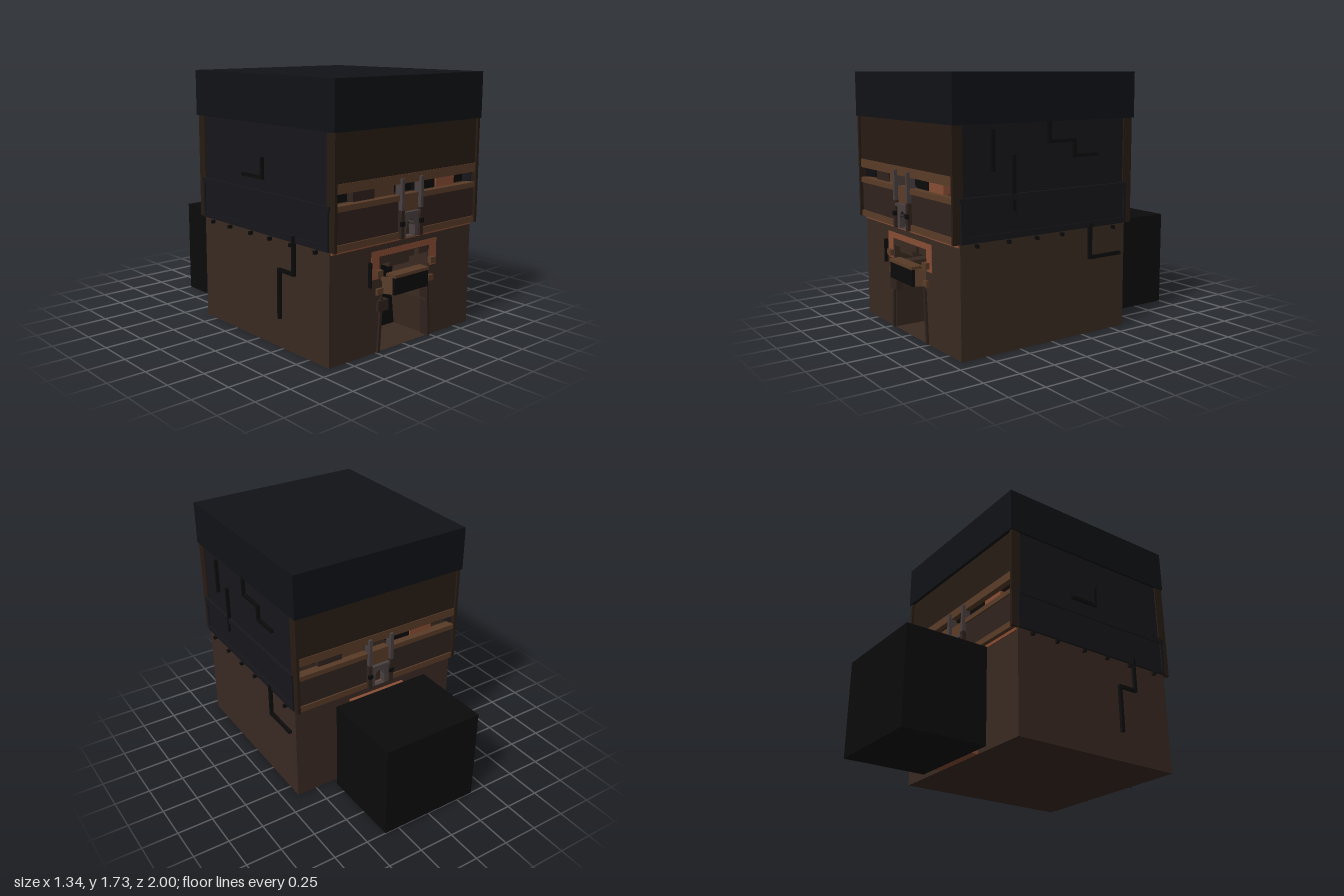
import * as THREE from 'three';

const mat = (color) => new THREE.MeshStandardMaterial({ color, side: THREE.DoubleSide, flatShading: true });
const M = {
  wall: mat(0x3a2a22), upper: mat(0x281c14), panel: mat(0x30231d), trim: mat(0x5a3c28), glow: mat(0x8a4e34),
  roof: mat(0x101216), side: mat(0x17171c), black: mat(0x0c0b0b), metal: mat(0x4a4040),
};

// Box given by its minimum and maximum on each axis
function box(parent, name, m, x0, x1, y0, y1, z0, z1) {
  const mesh = new THREE.Mesh(new THREE.BoxGeometry(x1 - x0, y1 - y0, z1 - z0), m);
  mesh.position.set((x0 + x1) / 2, (y0 + y1) / 2, (z0 + z1) / 2);
  mesh.name = name;
  parent.add(mesh);
  return mesh;
}

// Extruded outline with optional hole, from z0 to z1
function slab(parent, name, m, pts, hole, z0, z1) {
  const shape = new THREE.Shape(pts.map((p) => new THREE.Vector2(...p)));
  if (hole) shape.holes.push(hole);
  const mesh = new THREE.Mesh(
    new THREE.ExtrudeGeometry(shape, { depth: z1 - z0, bevelEnabled: false, curveSegments: 8 }), m);
  mesh.position.z = z0;
  mesh.name = name;
  parent.add(mesh);
}

const rect = (x0, x1, y0, y1) => [[x0, y0], [x1, y0], [x1, y1], [x0, y1]];

function archHole() {
  const p = new THREE.Path();
  p.moveTo(-0.04, 0.722);
  p.lineTo(-0.04, 0.79);
  p.lineTo(-0.032, 0.8);
  p.absarc(0, 0.805, 0.032, Math.PI, 0, true);
  p.lineTo(0.04, 0.79);
  p.lineTo(0.04, 0.722);
  return p;
}

// Square pipe running along a side wall, points as [z, y]
function pipe(parent, sx, x, pts) {
  const g = new THREE.Group();
  g.name = 'wallPipe';
  const r = 0.011;
  for (let i = 1; i < pts.length; i++) {
    const [a, b] = [pts[i - 1], pts[i]];
    box(g, 'pipeSegment', M.black, sx * x - r, sx * x + r, Math.min(a[1], b[1]) - r, Math.max(a[1], b[1]) + r,
      Math.min(a[0], b[0]) - r, Math.max(a[0], b[0]) + r);
  }
  parent.add(g);
}

// Upper facade; local z = 0 is the plane of the lower wall
function facade() {
  const g = new THREE.Group();
  box(g, 'upperWall', M.upper, -0.635, 0.635, 1.12, 1.43, -0.02, 0.035);
  box(g, 'upperBeam', M.trim, -0.635, 0.635, 1.065, 1.125, 0, 0.04);
  for (const s of [-1, 1]) {
    const mirrored = (name, m, a, b, ...r) => box(g, name, m, Math.min(s * a, s * b), Math.max(s * a, s * b), ...r);
    mirrored('cornerPost', M.upper, 0.63, 0.65, 0.72, 1.43, -0.02, 0.05);
    mirrored('balconyPanel', M.panel, 0.1, 0.63, 0.76, 0.96, -0.02, 0.03);
    mirrored('balconyRail', M.trim, 0.1, 0.63, 0.96, 0.995, -0.02, 0.042);
    mirrored('balconyLedge', M.trim, 0.1, 0.635, 0.72, 0.762, -0.02, 0.04);
    mirrored('slotShutter', s > 0 ? M.glow : M.panel, 0.28, 0.46, 0.995, 1.065, -0.05, 0);
    mirrored('slotBlind', s > 0 ? M.black : M.trim, 0.1, 0.28, 0.995, 1.065, -0.05, -0.01);
    mirrored('gatePost', M.metal, 0.075, 0.098, 0.9, 1.1, 0, 0.06);
    mirrored('gateSide', M.panel, 0.072, 0.1, 0.72, 0.9, -0.02, 0.06);
    mirrored('gateBracket', M.black, 0.07, 0.102, 0.80, 0.83, 0.05, 0.066);
  }
  // Central gate with arched opening
  box(g, 'gatePanel', M.trim, -0.075, 0.075, 0.88, 0.995, -0.02, 0.035);
  box(g, 'gateLintel', M.metal, -0.075, 0.075, 0.865, 0.885, 0, 0.06);
  slab(g, 'archPanel', M.metal, rect(-0.073, 0.073, 0.72, 0.87), archHole(), -0.01, 0.045);
  box(g, 'soffitStrip', M.glow, -0.635, 0.635, 0.7, 0.722, -0.01, 0.01);
  return g;
}

function sideWall(s) {
  const g = new THREE.Group();
  g.name = s > 0 ? 'leftSide' : 'rightSide';
  const plate = (name, m, a, b, ...r) => box(g, name, m, Math.min(s * a, s * b), Math.max(s * a, s * b), ...r);
  plate('sideUpper', M.side, 0.62, 0.642, 0.995, 1.43, -0.37, 0.94);
  plate('sidePanel', M.side, 0.62, 0.652, 0.72, 0.96, -0.36, 0.93);
  plate('sideRail', M.side, 0.62, 0.663, 0.96, 0.995, -0.36, 0.94);
  plate('sideSill', M.side, 0.62, 0.66, 0.72, 0.76, -0.36, 0.93);
  for (const z of [-0.35, 0.92]) plate('sidePanelEnd', M.side, 0.62, 0.66, 0.76, 0.96, z - 0.01, z + 0.01);
  // Row of hooks under the sill
  for (const z of [0.82, 0.59, 0.38, 0.18, -0.05, -0.25])
    plate('hook', M.black, 0.64, 0.672, 0.69, 0.712, z - 0.009, z + 0.009);
  return g;
}

export function createModel() {
  const model = new THREE.Group();
  model.name = 'gatehouse';

  // Lower storey: front wall with a ragged doorway, dark recess behind
  const door = new THREE.Path([
    [-0.22, 0.001], [-0.2, 0.27], [-0.2, 0.45], [-0.215, 0.47], [-0.215, 0.57], [-0.14, 0.57], [-0.14, 0.54],
    [0.04, 0.54], [0.04, 0.575], [0.09, 0.575], [0.09, 0.615], [0.13, 0.615], [0.13, 0.575], [0.22, 0.575],
    [0.22, 0.46], [0.21, 0.25], [0.24, 0.001],
  ].map((p) => new THREE.Vector2(...p)));
  slab(model, 'frontWall', M.wall, rect(-0.645, 0.645, 0, 0.72), door, 0.6, 0.93);
  box(model, 'lowerBody', M.wall, -0.645, 0.645, 0, 0.72, -0.36, 0.6);
  box(model, 'doorVoid', M.black, -0.26, 0.26, 0.002, 0.63, 0.6, 0.62);
  box(model, 'backBlock', M.black, -0.38, 0.355, 0, 0.67, -1, -0.41);
  box(model, 'backPassage', M.glow, -0.22, 0.22, 0, 0.65, -0.41, -0.36);

  // Light spill and fittings around the doorway
  box(model, 'lintelGlow', M.glow, -0.3, 0.3, 0.62, 0.66, 0.92, 0.932);
  for (const s of [-1, 1]) {
    box(model, 'jambGlow', M.glow, s * 0.265 - 0.035, s * 0.265 + 0.035, 0.48, 0.62, 0.92, 0.932);
    box(model, 'upperFitting', M.trim, s * 0.245 - 0.025, s * 0.245 + 0.025, 0.5, 0.54, 0.9, 0.96);
    box(model, 'lowerFitting', M.trim, s * 0.235 - 0.025, s * 0.235 + 0.025, 0.38, 0.42, 0.9, 0.95);
    const jamb = box(model, 'leaningJamb', M.panel, -0.01, 0.01, 0, 0.36, 0.88, 0.945);
    jamb.position.x = s * 0.225;
    jamb.rotation.z = s * 0.06;
    // Splayed cheek of the door canopy
    const cheek = box(model, 'canopyCheek', M.trim, -0.006, 0.006, 0.37, 0.48, 0.89, 0.99);
    cheek.position.x = s * 0.165;
    cheek.rotation.y = -s * 0.45;
  }
  box(model, 'doorBox', M.panel, -0.25, -0.16, 0.27, 0.34, 0.9, 0.95);
  box(model, 'canopyFront', M.black, -0.155, 0.155, 0.37, 0.48, 0.975, 0.995);
  box(model, 'canopyTop', M.trim, -0.155, 0.155, 0.48, 0.5, 0.92, 1);
  box(model, 'wallSign', M.black, -0.325, -0.315, 0.44, 0.6, 0.93, 0.955);

  // Upper storey core, pierced from front to back by the arched passage
  slab(model, 'upperCore', M.upper, rect(-0.635, 0.635, 0.72, 0.99), archHole(), -0.355, 0.925);
  box(model, 'slotCore', M.black, -0.62, 0.62, 0.99, 1.07, -0.3, 0.87);
  box(model, 'topCore', M.upper, -0.635, 0.635, 1.07, 1.43, -0.36, 0.93);

  const front = facade();
  front.name = 'frontFacade';
  front.position.z = 0.93;
  const back = facade();
  back.name = 'backFacade';
  back.rotation.y = Math.PI;
  back.position.z = -0.36;
  model.add(front, back, sideWall(1), sideWall(-1));

  // Overhanging roof block
  box(model, 'roofBlock', M.roof, -0.66, 0.66, 1.425, 1.73, -0.42, 0.983);

  // Pipe runs on both sides
  pipe(model, 1, 0.66, [[-0.05, 0.74], [-0.05, 0.52], [-0.3, 0.52]]);
  pipe(model, 1, 0.652, [[0.28, 1.42], [0.28, 1.3], [0.08, 1.3], [0.08, 1.2], [-0.1, 1.2]]);
  pipe(model, 1, 0.652, [[0.55, 1.22], [0.55, 0.9]]);
  pipe(model, 1, 0.652, [[0.7, 1.38], [0.7, 1.15]]);
  pipe(model, -1, 0.66, [[0.62, 0.75], [0.62, 0.52], [0.48, 0.52], [0.48, 0.21]]);
  pipe(model, -1, 0.65, [[0.3, 1.2], [0.3, 1.08], [0.1, 1.08]]);
  return model;
}
